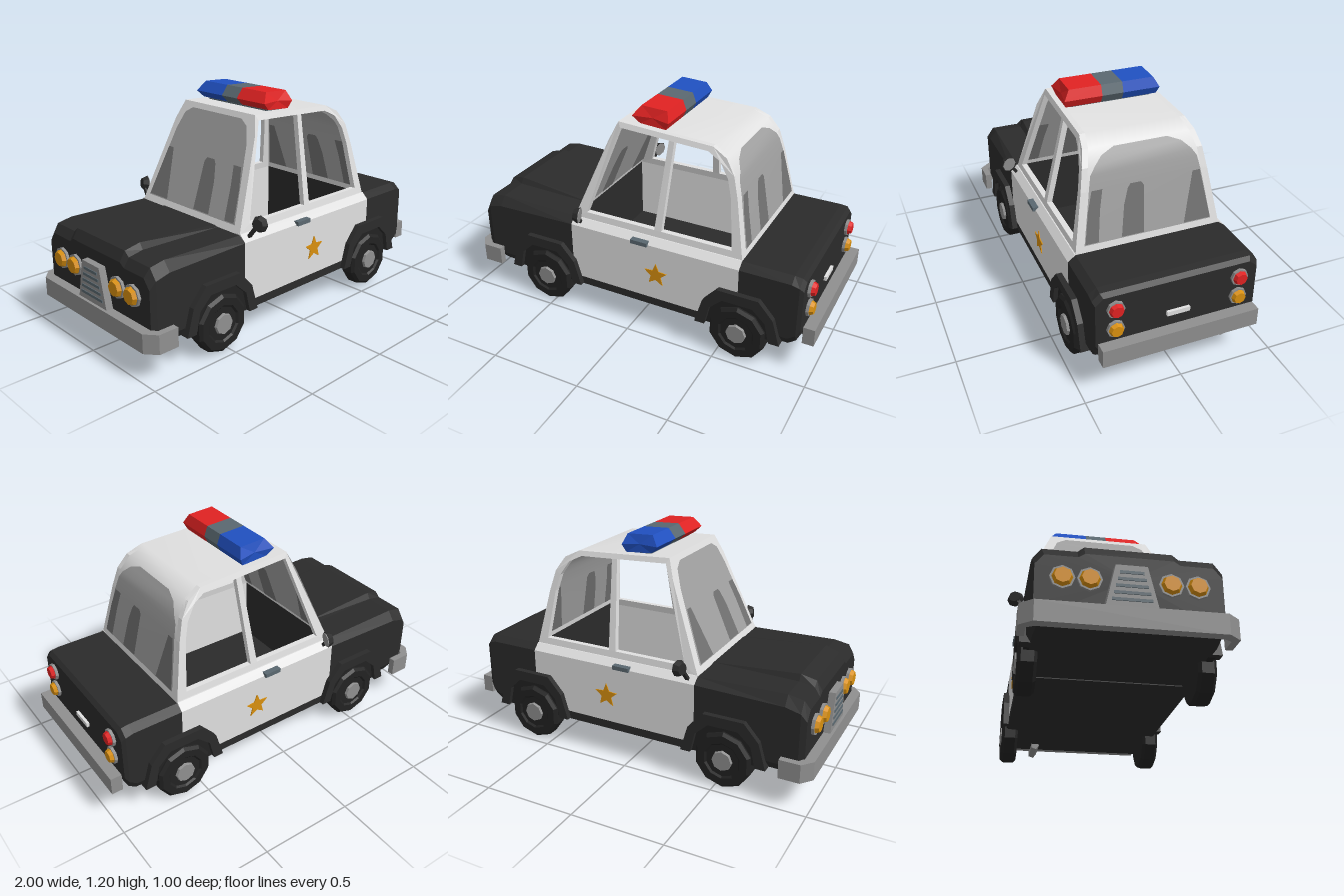
import * as THREE from 'three';

const mat = (name, color, side = THREE.FrontSide) => {
  const m = new THREE.MeshStandardMaterial({ color, side });
  m.name = name;
  return m;
};

// Faceted copy of a closed geometry, with its faces turned outward
function flat(geo) {
  const g = geo.index ? geo.toNonIndexed() : geo;
  const p = g.attributes.position;
  const a = new THREE.Vector3(), b = new THREE.Vector3(), c = new THREE.Vector3();
  let volume = 0;
  for (let i = 0; i < p.count; i += 3) {
    a.fromBufferAttribute(p, i); b.fromBufferAttribute(p, i + 1); c.fromBufferAttribute(p, i + 2);
    volume += a.dot(b.cross(c));
  }
  if (volume < 0) {
    for (let i = 0; i < p.count; i += 3) {
      b.fromBufferAttribute(p, i + 1); c.fromBufferAttribute(p, i + 2);
      p.setXYZ(i + 1, c.x, c.y, c.z); p.setXYZ(i + 2, b.x, b.y, b.z);
    }
  }
  g.computeVertexNormals();
  return g;
}

// Closed solid through rings of [x, y, z] points
function loft(rings) {
  const n = rings[0].length, pos = rings.flat(2), idx = [];
  const last = rings.length - 1;
  for (let r = 0; r < last; r++) for (let i = 0; i < n; i++) {
    const a = r * n + i, b = r * n + (i + 1) % n;
    idx.push(a, b, a + n, b, b + n, a + n);
  }
  [0, last].forEach((r, k) => {
    const centre = [0, 1, 2].map(j => rings[r].reduce((s, q) => s + q[j], 0) / n);
    const c = pos.length / 3;
    pos.push(...centre);
    for (let i = 0; i < n; i++) {
      const a = r * n + i, b = r * n + (i + 1) % n;
      k ? idx.push(c, a, b) : idx.push(c, b, a);
    }
  });
  const g = new THREE.BufferGeometry();
  g.setAttribute('position', new THREE.Float32BufferAttribute(pos, 3));
  g.setIndex(idx);
  return flat(g);
}

// Open surface through rows [x, y, z0, z1]
function sheet(rows) {
  const pos = [], idx = [];
  rows.forEach(([x, y, z0, z1], i) => {
    pos.push(x, y, z0, x, y, z1);
    if (i) idx.push(2 * i - 2, 2 * i - 1, 2 * i, 2 * i - 1, 2 * i + 1, 2 * i);
  });
  const g = new THREE.BufferGeometry();
  g.setAttribute('position', new THREE.Float32BufferAttribute(pos, 3));
  g.setIndex(idx);
  g.computeVertexNormals();
  return g;
}

const shapeOf = pts => new THREE.Shape(pts.map(p => new THREE.Vector2(...p)));
const extrude = (shape, depth) => new THREE.ExtrudeGeometry(shape, { depth, bevelEnabled: false });
const box = (x0, x1, y0, y1, z0, z1) => flat(new THREE.BoxGeometry(x1 - x0, y1 - y0, z1 - z0)
  .translate((x0 + x1) / 2, (y0 + y1) / 2, (z0 + z1) / 2));
// Disc lying across the x axis
const discX = (r, len, sides, x, y, z, r2 = r) => flat(new THREE.CylinderGeometry(r2, r, len, sides)
  .rotateZ(-Math.PI / 2).translate(x, y, z));
// Body cross-section from its half outline [z, y]
const section = (x, half) => [...half.map(([z, y]) => [x, y, z]),
  ...half.slice().reverse().map(([z, y]) => [x, y, -z])];

export function createModel() {
  const car = new THREE.Group();
  car.name = 'patrolCar';
  const black = mat('black paint', 0x2b2b2b), tyre = mat('tyre rubber', 0x222222);
  const white = mat('white paint', 0xe0e0e0, THREE.DoubleSide), chrome = mat('chrome', 0x8f8f8f);
  const glass = mat('glass', 0xa0a0a0, THREE.DoubleSide);
  const streak = mat('glass reflection', 0x717171, THREE.DoubleSide);
  const red = mat('red lens', 0xe02222), blue = mat('blue lens', 0x2050c0);
  const slate = mat('slate lens', 0x5a6870), amber = mat('amber', 0xd9900f);

  const add = (name, geo, material) => {
    const m = new THREE.Mesh(geo, material);
    m.name = name;
    car.add(m);
  };
  const pair = (name, geo, material) => {
    add(name + 'Left', geo, material);
    add(name + 'Right', flat(geo.clone().scale(1, 1, -1)), material);
  };

  // Lower body: hood, trunk, floor and hollow cabin sides
  add('hood', loft([
    section(-0.95, [[0.39, 0.2], [0.42, 0.26], [0.42, 0.45], [0.38, 0.5], [0.23, 0.5], [0.2, 0.52]]),
    section(-0.92, [[0.4, 0.17], [0.43, 0.22], [0.43, 0.49], [0.39, 0.545], [0.23, 0.545], [0.2, 0.57]]),
    section(-0.84, [[0.41, 0.16], [0.43, 0.2], [0.43, 0.51], [0.39, 0.56], [0.23, 0.56], [0.21, 0.592]]),
    section(-0.37, [[0.41, 0.16], [0.43, 0.2], [0.43, 0.52], [0.39, 0.55], [0.23, 0.55], [0.2, 0.555]]),
  ]), black);
  add('trunk', loft([
    section(0.6, [[0.41, 0.16], [0.43, 0.2], [0.43, 0.52], [0.39, 0.55]]),
    section(0.87, [[0.41, 0.16], [0.43, 0.2], [0.43, 0.52], [0.39, 0.55]]),
    section(0.91, [[0.41, 0.19], [0.43, 0.23], [0.43, 0.51], [0.39, 0.545]]),
    section(0.93, [[0.4, 0.23], [0.42, 0.26], [0.42, 0.49], [0.38, 0.525]]),
  ]), black);
  add('floor', box(-0.37, 0.6, 0.155, 0.2, -0.43, 0.43), black);
  const side = x => [[0.43, 0.2], [0.43, 0.52], [0.395, 0.555], [0.36, 0.555], [0.36, 0.2]].map(([z, y]) => [x, y, z]);
  pair('doorPanel', loft([side(-0.37), side(0.6)]), white);

  // Cabin frame leaning inward, with two open windows on each side
  const halfWidth = y => y < 1 ? 0.39 - (y - 0.55) * 0.178 : 0.31 - (y - 1) * 0.4;
  const roofLine = [[-0.15, 1.1], [0.05, 1.09], [0.38, 1.075], [0.46, 1.035], [0.51, 0.96], [0.54, 0.85], [0.6, 0.55]];
  const frame = shapeOf([[-0.37, 0.55], ...roofLine]);
  frame.holes.push(
    shapeOf([[-0.295, 0.59], [-0.135, 1.072], [0.145, 1.06], [0.11, 0.59]]),
    shapeOf([[0.15, 0.59], [0.175, 1.058], [0.36, 1.05], [0.43, 1.015], [0.48, 0.94], [0.505, 0.85], [0.54, 0.59]]));
  const frameGeo = extrude(frame, 0.03);
  const fp = frameGeo.attributes.position;
  for (let i = 0; i < fp.count; i++) fp.setZ(i, fp.getZ(i) - 0.03 + halfWidth(fp.getY(i)));
  pair('windowFrame', flat(frameGeo), white);

  const span = (x, y, w = halfWidth(y)) => [x, y, -w, w];
  add('roof', sheet(roofLine.map(([x, y]) => span(x, y))), white);
  const frontX = y => -0.37 + (y - 0.55) * 0.4;
  const rearX = y => {
    let i = 3;
    while (i < 5 && y < roofLine[i + 1][1]) i++;
    const [x0, y0] = roofLine[i], [x1, y1] = roofLine[i + 1];
    return x0 + (x1 - x0) * (y - y0) / (y1 - y0);
  };
  add('windshieldFrame', sheet([0.55, 1, 1.1].map(y => span(frontX(y), y))), white);

  // Glass and reflections on both faces of each screen
  const frontGlass = [[0.585, 0.345], [0.95, 0.275], [1.04, 0.24], [1.07, 0.19]];
  const rearGlass = [[0.585, 0.342], [0.85, 0.297], [0.92, 0.282], [0.96, 0.255], [1, 0.21], [1.027, 0.14]];
  const streaks = [
    [[0.59, 0.27, 0.338], [0.75, 0.25, 0.312], [0.85, 0.23, 0.285]],
    [[0.59, 0.03, 0.148], [0.75, 0.02, 0.125], [0.83, 0.015, 0.1], [0.85, 0.03, 0.085]],
    [[0.59, -0.338, -0.19], [0.7, -0.318, -0.215], [0.85, -0.29, -0.25]],
  ];
  for (const [name, xAt, rows, out] of [['windshield', frontX, frontGlass, -1], ['rearWindow', rearX, rearGlass, 1]]) {
    for (const face of [1, -1]) {
      const off = d => [out * face * d, face * d * 0.5];
      const [gx, gy] = off(0.005), [sx, sy] = off(0.009);
      add(name, sheet(rows.map(([y, w]) => span(xAt(y) + gx, y + gy, w))), glass);
      for (const s of streaks)
        add(name + 'Reflection', sheet(s.map(([y, a, b]) => [xAt(y) + sx, y + sy, a, b])), streak);
    }
  }

  // Wheels and flared arches
  const tyreProfile = [[0, -0.045], [0.14, -0.045], [0.155, -0.03], [0.155, 0.03], [0.14, 0.045], [0.1, 0.045], [0.09, 0.036], [0, 0.036]]
    .map(p => new THREE.Vector2(...p));
  const arch = shapeOf([[-0.23, 0.16], [-0.19, 0.3], [-0.11, 0.39], [0.11, 0.39], [0.19, 0.3], [0.23, 0.16],
    [0.175, 0.16], [0.15, 0.27], [0.08, 0.335], [-0.08, 0.335], [-0.15, 0.27], [-0.175, 0.16]]);
  const well = shapeOf([[-0.2, 0.16], [-0.17, 0.28], [-0.1, 0.36], [0.1, 0.36], [0.17, 0.28], [0.2, 0.16]]);
  for (const [end, x] of [['front', -0.54], ['rear', 0.61]]) {
    pair(end + 'Arch', flat(extrude(arch, 0.06).translate(x, 0, 0.4)), black);
    pair(end + 'WheelWell', flat(extrude(well, 0.036).translate(x, 0, 0.4)), tyre);
    pair(end + 'Tyre', flat(new THREE.LatheGeometry(tyreProfile, 10).rotateX(Math.PI / 2).translate(x, 0.153, 0.415)), tyre);
    pair(end + 'Hub', flat(new THREE.CylinderGeometry(0.052, 0.06, 0.03, 8).rotateX(Math.PI / 2).translate(x, 0.153, 0.45)), chrome);
  }

  // Bumpers: wrap-around at the front, straight at the rear
  const wrap = [[-0.84, 0.48], [-0.95, 0.48], [-1, 0.42], [-1, -0.42], [-0.95, -0.48], [-0.84, -0.48],
    [-0.84, -0.445], [-0.93, -0.445], [-0.95, -0.41], [-0.95, 0.41], [-0.93, 0.445], [-0.84, 0.445]];
  add('frontBumper', flat(extrude(shapeOf(wrap), 0.1).rotateX(Math.PI / 2).translate(0, 0.255, 0)), chrome);
  add('rearBumper', box(0.94, 1, 0.185, 0.28, -0.41, 0.41), chrome);
  add('rearBumperMount', box(0.88, 0.95, 0.2, 0.25, -0.36, 0.36), black);
  add('exhaust', discX(0.026, 0.2, 5, 0.85, 0.152, -0.245), chrome);

  // Grille with dark slots
  const grille = [[-0.125, 0.25], [0.125, 0.25], [0.075, 0.46], [-0.075, 0.46]];
  add('grille', loft([[-0.985, 0.95], [-0.94, 1]].map(([x, s]) => grille.map(([z, y]) => [x, y, z * s]))), chrome);
  for (let i = 0; i < 5; i++) {
    const y = 0.285 + i * 0.033, w = 0.09 - i * 0.009;
    add('grilleSlot', box(-0.989, -0.984, y, y + 0.014, -w, w), slate);
  }

  // Lamps with chrome rims
  const lamp = (name, x, dir, y, z, r, lens) => {
    pair(name + 'Rim', discX(r * 1.13, 0.03, 8, x, y, z), chrome);
    pair(name, discX(dir > 0 ? r : r * 0.75, 0.025, 8, x + dir * 0.022, y, z, dir > 0 ? r * 0.75 : r), lens);
  };
  lamp('outerHeadlamp', -0.95, -1, 0.39, 0.3, 0.05, amber);
  lamp('innerHeadlamp', -0.95, -1, 0.39, 0.18, 0.05, amber);
  lamp('tailLamp', 0.93, 1, 0.455, 0.322, 0.04, red);
  lamp('turnLamp', 0.93, 1, 0.343, 0.322, 0.04, amber);

  // Trim: trunk handle, door handles, stars and mirrors
  add('trunkHandle', box(0.925, 0.945, 0.336, 0.36, -0.06, 0.06), white);
  pair('doorHandle', box(0, 0.095, 0.515, 0.537, 0.41, 0.445), slate);
  const starPts = Array.from({ length: 10 }, (_, i) => {
    const a = Math.PI / 2 + i * Math.PI / 5, r = i % 2 ? 0.03 : 0.068;
    return [0.142 + r * Math.cos(a), 0.352 + r * Math.sin(a)];
  });
  pair('doorStar', flat(extrude(shapeOf(starPts), 0.006).translate(0, 0, 0.429)), amber);
  const stalk = new THREE.LineCurve3(new THREE.Vector3(-0.325, 0.53, 0.405), new THREE.Vector3(-0.315, 0.6, 0.455));
  pair('mirrorStalk', flat(loft([0, 1].map(t => {
    const p = stalk.getPoint(t);
    return [[1, 1], [-1, 1], [-1, -1], [1, -1]].map(([i, k]) => [p.x + i * 0.01, p.y, p.z + k * 0.01]);
  }))), black);
  const placeMirror = g => flat(g.rotateY(0.3).rotateZ(-0.1).translate(-0.31, 0.61, 0.463));
  pair('mirrorShell', placeMirror(discX(0.03, 0.03, 8, 0, 0, 0, 0.044)), black);
  pair('mirrorFace', placeMirror(discX(0.04, 0.006, 8, 0.017, 0, 0)), chrome);

  // Light bar: hexagonal section [x, y, half length], split in three colours
  const bar = [[-0.035, 1.195, 0.232], [0.11, 1.188, 0.232], [0.13, 1.135, 0.262], [0.11, 1.095, 0.25], [-0.035, 1.105, 0.25], [-0.075, 1.143, 0.262]];
  const slice = z => bar.map(([x, y, l]) => [x, y, z === null ? 0 : Math.sign(z) * Math.min(Math.abs(z), l)]);
  add('lightBarRed', loft([slice(0.3), slice(0.058)]), red);
  add('lightBarCentre', loft([slice(0.058), slice(-0.058)]), slate);
  add('lightBarBlue', loft([slice(-0.058), slice(-0.3)]), blue);
  add('lightBarBase', box(-0.02, 0.1, 1.075, 1.1, -0.22, 0.22), slate);

  return car;
}
